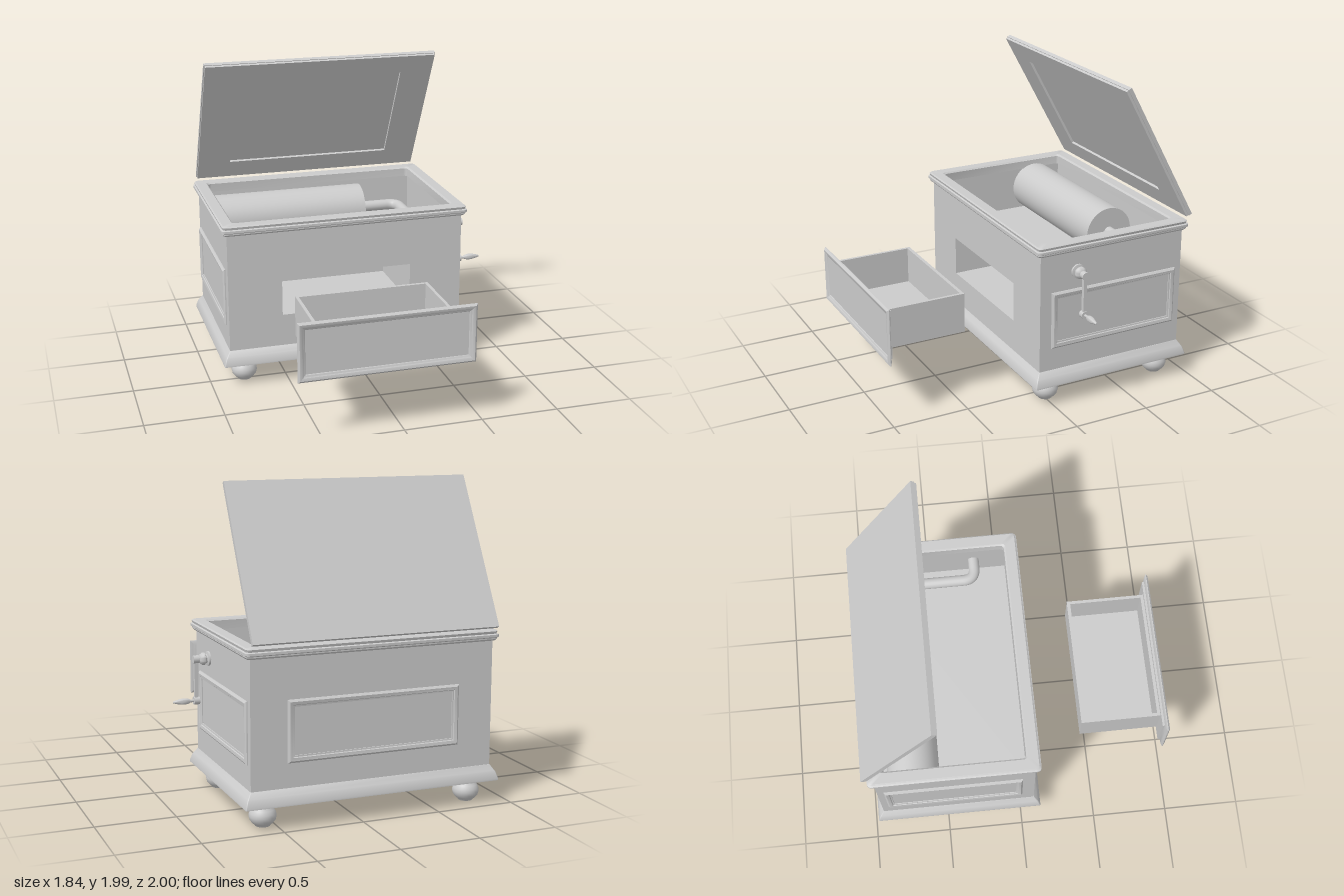
import * as THREE from 'three';
import { toCreasedNormals } from 'three/addons/utils/BufferGeometryUtils.js';

const material = new THREE.MeshStandardMaterial({ color: 0xcccccc });

function add(parent, name, geometry, x = 0, y = 0, z = 0) {
  const mesh = new THREE.Mesh(geometry, material);
  mesh.name = name;
  mesh.position.set(x, y, z);
  parent.add(mesh);
  return mesh;
}

// Box given by its lower and upper corners
function span(parent, name, [x0, y0, z0], [x1, y1, z1]) {
  return add(parent, name, new THREE.BoxGeometry(x1 - x0, y1 - y0, z1 - z0),
    (x0 + x1) / 2, (y0 + y1) / 2, (z0 + z1) / 2);
}

// Closed profile of [out, y] points carried around a rectangle in the XZ plane
function moulding(halfX, halfZ, profile, radius = 0) {
  const steps = radius ? 4 : 0;
  const rings = profile.map(([out, y]) => {
    const ring = [];
    for (let c = 0; c < 4; c++) {
      const sx = c === 0 || c === 3 ? 1 : -1, sz = c < 2 ? -1 : 1;
      for (let k = 0; k <= steps; k++) {
        const a = (c + (steps ? k / steps : 0.5)) * Math.PI / 2;
        ring.push([sx * (halfX + out - radius) + radius * Math.cos(a), y,
          sz * (halfZ + out - radius) - radius * Math.sin(a)]);
      }
    }
    return ring;
  });
  const pos = [], n = rings[0].length;
  rings.forEach((ring, j) => {
    const next = rings[(j + 1) % rings.length];
    for (let i = 0; i < n; i++) {
      const k = (i + 1) % n;
      pos.push(...ring[i], ...ring[k], ...next[k], ...ring[i], ...next[k], ...next[i]);
    }
  });
  const g = new THREE.BufferGeometry();
  g.setAttribute('position', new THREE.Float32BufferAttribute(pos, 3));
  return toCreasedNormals(g, 0.6);
}

// Board in the XY plane with a rectangular opening
function boardWithHole([x0, y0, x1, y1], [a0, b0, a1, b1], depth) {
  const s = new THREE.Shape([[x0, y0], [x1, y0], [x1, y1], [x0, y1]].map(p => new THREE.Vector2(...p)));
  s.holes.push(new THREE.Path([[a0, b0], [a0, b1], [a1, b1], [a1, b0]].map(p => new THREE.Vector2(...p))));
  return new THREE.ExtrudeGeometry(s, { depth, bevelEnabled: false });
}

function lathe(points, segments = 32) {
  return toCreasedNormals(new THREE.LatheGeometry(points.map(p => new THREE.Vector2(...p)), segments), 0.7);
}

const CX = -0.1, CZ = -0.42; // centre of the case
const panelProfile = [[0, 0], [0, 0.007], [-0.012, 0.017], [-0.03, 0.013], [-0.034, 0.008], [-0.043, 0.006], [-0.043, 0]];

function panelFrame(parent, name, halfW, x, z, turn) {
  const holder = new THREE.Group();
  holder.name = name;
  holder.position.set(x, 0.578, z);
  holder.rotation.y = turn;
  add(holder, name + 'Moulding', moulding(halfW, 0.188, panelProfile).rotateX(Math.PI / 2));
  parent.add(holder);
}

function buildCase() {
  const g = new THREE.Group();
  g.name = 'case';
  add(g, 'frontWall', boardWithHole([-0.88, 0.2, 0.68, 1.07], [-0.53, 0.45, 0.33, 0.71], 0.05), 0, 0, 0.04);
  span(g, 'backWall', [-0.88, 0.2, -0.93], [0.68, 1.07, -0.88]);
  span(g, 'leftWall', [0.63, 0.2, -0.88], [0.68, 1.07, 0.04]);
  span(g, 'rightWall', [-0.88, 0.2, -0.88], [-0.83, 1.07, 0.04]);
  span(g, 'bottom', [-0.9, 0.146, -0.95], [0.7, 0.2, 0.11]);
  span(g, 'innerFloor', [-0.83, 0.71, -0.88], [0.63, 0.73, 0.04]);

  // Compartment that takes the drawer
  span(g, 'compartmentFloor', [-0.53, 0.43, -0.5], [0.33, 0.45, 0.04]);
  span(g, 'compartmentBack', [-0.55, 0.43, -0.52], [0.35, 0.71, -0.5]);
  for (const x of [-0.55, 0.33]) span(g, 'compartmentSide', [x, 0.43, -0.5], [x + 0.02, 0.71, 0.04]);

  // Base and rim mouldings
  add(g, 'baseMoulding', moulding(0.78, 0.51,
    [[-0.03, 0.145], [0.044, 0.145], [0.044, 0.155], [0.03, 0.198], [0.025, 0.205], [0.003, 0.24], [-0.03, 0.24]], 0.006), CX, 0, CZ);
  add(g, 'rimMoulding', moulding(0.78, 0.51,
    [[-0.055, 1.02], [0.018, 1.02], [0.026, 1.03], [0.026, 1.037], [0.034, 1.043], [0.034, 1.058],
      [0.024, 1.063], [0.028, 1.078], [0.02, 1.085], [-0.045, 1.085], [-0.055, 1.075]], 0.025), CX, 0, CZ);

  // Raised frames on the sides and back
  panelFrame(g, 'leftPanelFrame', 0.448, 0.68, -0.437, Math.PI / 2);
  panelFrame(g, 'rightPanelFrame', 0.448, -0.88, -0.437, -Math.PI / 2);
  panelFrame(g, 'backPanelFrame', 0.553, CX, -0.93, Math.PI);

  // Bun feet with square blocks
  const bun = lathe([[0, 0], [0.045, 0], [0.051, 0.01], [0.062, 0.018], [0.077, 0.037], [0.083, 0.06],
    [0.08, 0.08], [0.07, 0.1], [0.056, 0.115], [0.05, 0.13], [0, 0.13]]);
  for (const x of [-0.773, 0.573]) for (const z of [-0.01, -0.83]) {
    add(g, 'foot', bun, x, 0, z);
    add(g, 'footBlock', new THREE.BoxGeometry(0.122, 0.022, 0.122), x, 0.136, z);
  }
  return g;
}

function buildLid() {
  const g = new THREE.Group();
  g.name = 'lid';
  g.position.set(CX, 1.095, -0.962);
  g.rotation.x = 0.504;
  span(g, 'lidBoard', [-0.785, 0, -0.04], [0.785, 1.005, -0.016]);
  add(g, 'lidFrame', boardWithHole([-0.78, 0.004, 0.78, 1.001], [-0.56, 0.14, 0.56, 0.86], 0.016), 0, 0, -0.016);
  return g;
}

function buildDrawer() {
  const g = new THREE.Group();
  g.name = 'drawer';
  span(g, 'drawerBottom', [-0.53, 0.45, 0.435], [0.33, 0.47, 0.96]);
  span(g, 'drawerBack', [-0.53, 0.47, 0.435], [0.33, 0.71, 0.457]);
  span(g, 'drawerInnerFront', [-0.51, 0.47, 0.938], [0.31, 0.71, 0.96]);
  for (const x of [-0.53, 0.31]) span(g, 'drawerSide', [x, 0.47, 0.457], [x + 0.02, 0.71, 0.96]);
  span(g, 'drawerFront', [-0.61, 0.418, 0.958], [0.41, 0.738, 0.984]);
  // Overhanging frame around the drawer front
  const frame = [[-0.05, -0.012], [-0.02, -0.008], [0, 0.002], [0, 0.007], [-0.012, 0.018],
    [-0.03, 0.014], [-0.035, 0.009], [-0.045, 0.006], [-0.05, 0]];
  add(g, 'drawerFrame', moulding(0.553, 0.188, frame).rotateX(Math.PI / 2), CX, 0.578, 0.982);
  return g;
}

function buildCrank() {
  const g = new THREE.Group();
  g.name = 'crank';
  const y = 0.88, z = -0.17;
  const alongX = points => lathe(points, 24).rotateZ(-Math.PI / 2);

  // Drum and the bent shaft driving it
  add(g, 'drum', new THREE.CylinderGeometry(0.165, 0.165, 1.04, 48).rotateZ(Math.PI / 2), -0.31, y, -0.68);
  const V = (x, zz) => new THREE.Vector3(x, y, zz);
  const path = new THREE.CurvePath();
  path.add(new THREE.LineCurve3(V(0.2, -0.68), V(0.405, -0.68)));
  path.add(new THREE.QuadraticBezierCurve3(V(0.405, -0.68), V(0.485, -0.68), V(0.485, -0.6)));
  path.add(new THREE.LineCurve3(V(0.485, -0.6), V(0.485, -0.25)));
  path.add(new THREE.QuadraticBezierCurve3(V(0.485, -0.25), V(0.485, z), V(0.565, z)));
  path.add(new THREE.LineCurve3(V(0.565, z), V(0.69, z)));
  add(g, 'shaft', new THREE.TubeGeometry(path, 120, 0.036, 20));

  // Turned collar, arm and grip
  add(g, 'collar', alongX([[0, 0], [0.046, 0], [0.046, 0.012], [0.028, 0.016], [0.026, 0.022], [0.038, 0.03],
    [0.038, 0.045], [0.028, 0.058], [0.017, 0.062], [0.017, 0.08], [0, 0.08]]), 0.68, y, z);
  add(g, 'armHub', new THREE.CylinderGeometry(0.025, 0.025, 0.036, 20).rotateZ(Math.PI / 2), 0.765, y, z);
  span(g, 'arm', [0.753, 0.62, z - 0.011], [0.777, y, z + 0.011]);
  add(g, 'gripHub', new THREE.CylinderGeometry(0.025, 0.025, 0.036, 20).rotateZ(Math.PI / 2), 0.765, 0.62, z);
  add(g, 'grip', alongX([[0, 0], [0.009, 0], [0.009, 0.02], [0.016, 0.035], [0.02, 0.06], [0.018, 0.085],
    [0.011, 0.115], [0.005, 0.133], [0, 0.135]]), 0.782, 0.62, z);
  return g;
}

export function createModel() {
  const model = new THREE.Group();
  model.name = 'crankBoxWithDrawer';
  model.add(buildCase(), buildLid(), buildDrawer(), buildCrank());
  return model;
}
